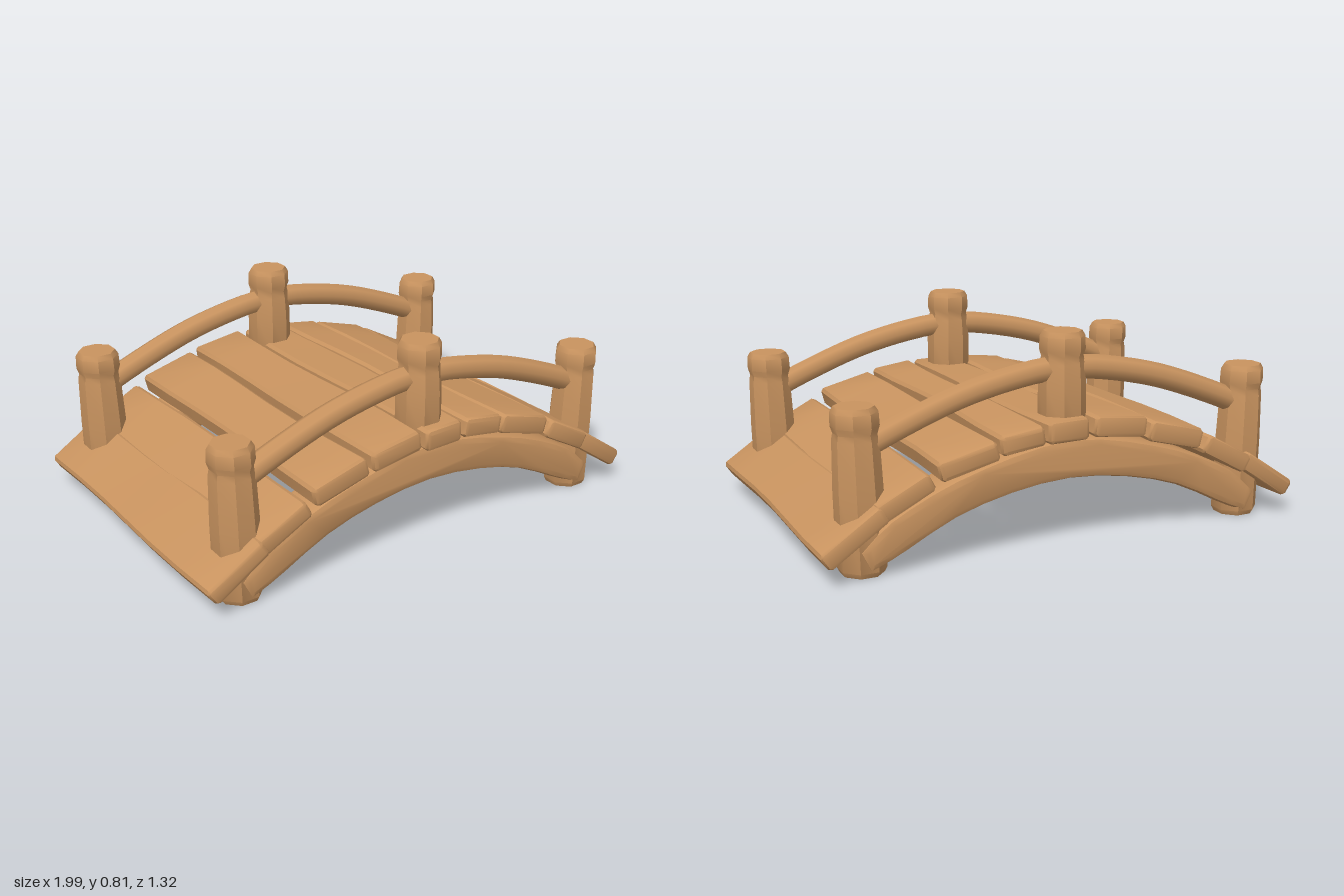
import * as THREE from 'three';
import { toCreasedNormals, mergeVertices } from 'three/addons/utils/BufferGeometryUtils.js';

const wood = new THREE.MeshStandardMaterial({ color: 0xc8935f });
wood.name = 'warm wood';

function addPart(group, name, geometry, crease = 0.75) {
  const mesh = new THREE.Mesh(toCreasedNormals(geometry, crease), wood);
  mesh.name = name;
  group.add(mesh);
  return mesh;
}

// Move every vertex by a rule
function warp(geometry, rule) {
  const p = geometry.attributes.position;
  const v = new THREE.Vector3();
  for (let i = 0; i < p.count; i++) {
    v.fromBufferAttribute(p, i);
    rule(v);
    p.setXYZ(i, v.x, v.y, v.z);
  }
  return geometry;
}

// Bevelled prism along z, centred on z = 0
function prism(shape, depth, bevel, steps) {
  const geometry = new THREE.ExtrudeGeometry(shape, {
    depth: depth - 2 * bevel, steps, curveSegments: 16,
    bevelEnabled: true, bevelThickness: bevel, bevelSize: bevel, bevelOffset: -bevel, bevelSegments: 2,
  });
  return geometry.translate(0, 0, -depth / 2 + bevel);
}

// Hand-cut deck board with a slightly uneven surface
function plankGeometry(length, thickness, seed) {
  const a = length / 2, b = thickness / 2, c = 0.012;
  const shape = new THREE.Shape([
    [-a + c, -b], [a - c, -b], [a, -b + c], [a, b - c],
    [a - c, b], [-a + c, b], [-a, b - c], [-a, -b + c],
  ].map(([x, y]) => new THREE.Vector2(x, y)));
  return warp(prism(shape, 1.31, 0.018, 6), (v) => {
    const z = v.z;
    v.x += 0.006 * Math.sin(z * 5 + seed * 2.1) * Math.sign(v.x);
    v.y += 0.004 * Math.sin(z * 6 + seed * 1.7);
    v.z += 0.006 * Math.sin(v.x * 20 + seed);
  });
}

// Eight-sided log with a notch below its bevelled top
function postGeometry(bottom, top, lean) {
  const h = top - bottom;
  const profile = [
    [0, 0], [0.08, 0], [0.091, 0.02], [0.09, h * 0.5], [0.084, h - 0.12],
    [0.079, h - 0.095], [0.087, h - 0.07], [0.085, h - 0.02], [0.073, h], [0, h],
  ].map(([r, y]) => new THREE.Vector2(r, y));
  const geometry = new THREE.LatheGeometry(profile, 8, Math.PI / 8);
  return warp(geometry, (v) => {
    const t = v.y / h;
    v.x += lean * (t - 0.5);
    v.y += bottom;
  });
}

// Arched side beam
function beamGeometry() {
  const top = new THREE.SplineCurve([
    [-0.84, 0.1], [-0.7, 0.215], [-0.4, 0.34], [0, 0.415], [0.4, 0.34], [0.7, 0.215], [0.84, 0.1],
  ].map(([x, y]) => new THREE.Vector2(x, y)));
  const under = new THREE.SplineCurve([
    [0.8, 0.02], [0.7, 0.06], [0.4, 0.197], [0, 0.26], [-0.4, 0.197], [-0.7, 0.06], [-0.8, 0.02],
  ].map(([x, y]) => new THREE.Vector2(x, y)));
  const shape = new THREE.Shape([...top.getPoints(20), ...under.getPoints(20)]);
  return prism(shape, 0.185, 0.025, 1);
}

// Curved handrail from the middle post to an end post
function railGeometry(side) {
  const path = new THREE.CatmullRomCurve3([
    [0, 0.67], [0.12, 0.662], [0.4, 0.605], [0.72, 0.487], [0.82, 0.44],
  ].map(([x, y]) => new THREE.Vector3(side * x, y, 0)));
  return new THREE.TubeGeometry(path, 14, 0.047, 8);
}

export function createModel() {
  const bridge = new THREE.Group();
  bridge.name = 'footbridge';

  // Deck boards: x, y, tilt in degrees, length, thickness
  const deck = new THREE.Group();
  deck.name = 'deck';
  bridge.add(deck);
  [
    [-0.868, 0.171, 34, 0.262, 0.072],
    [-0.675, 0.284, 29, 0.235, 0.075],
    [-0.433, 0.389, 14.5, 0.235, 0.08],
    [-0.188, 0.444, 7, 0.23, 0.08],
    [0.031, 0.455, 0, 0.182, 0.085],
    [0.22, 0.444, -8, 0.168, 0.078],
    [0.433, 0.389, -15, 0.235, 0.078],
    [0.675, 0.284, -28, 0.235, 0.075],
    [0.868, 0.171, -34, 0.262, 0.072],
  ].forEach(([x, y, tilt, length, thickness], i) => {
    const plank = addPart(deck, 'plank' + (i + 1), plankGeometry(length, thickness, i));
    plank.position.set(x, y, 0);
    plank.rotation.z = THREE.MathUtils.degToRad(tilt);
  });

  // Beam, posts and handrails on both sides
  for (const [label, z] of [['front', 0.525], ['back', -0.525]]) {
    const side = new THREE.Group();
    side.name = label + 'Side';
    side.position.z = z;
    bridge.add(side);
    addPart(side, label + 'ArchBeam', beamGeometry());
    addPart(side, label + 'MiddlePost', postGeometry(0.41, 0.81, 0));
    for (const [hand, s] of [['Left', 1], ['Right', -1]]) {
      const post = addPart(side, label + hand + 'Post', postGeometry(0, 0.61, s * 0.016));
      post.position.x = s * 0.81;
      addPart(side, label + hand + 'Rail', railGeometry(s), 1);
    }
  }
  return bridge;
}
